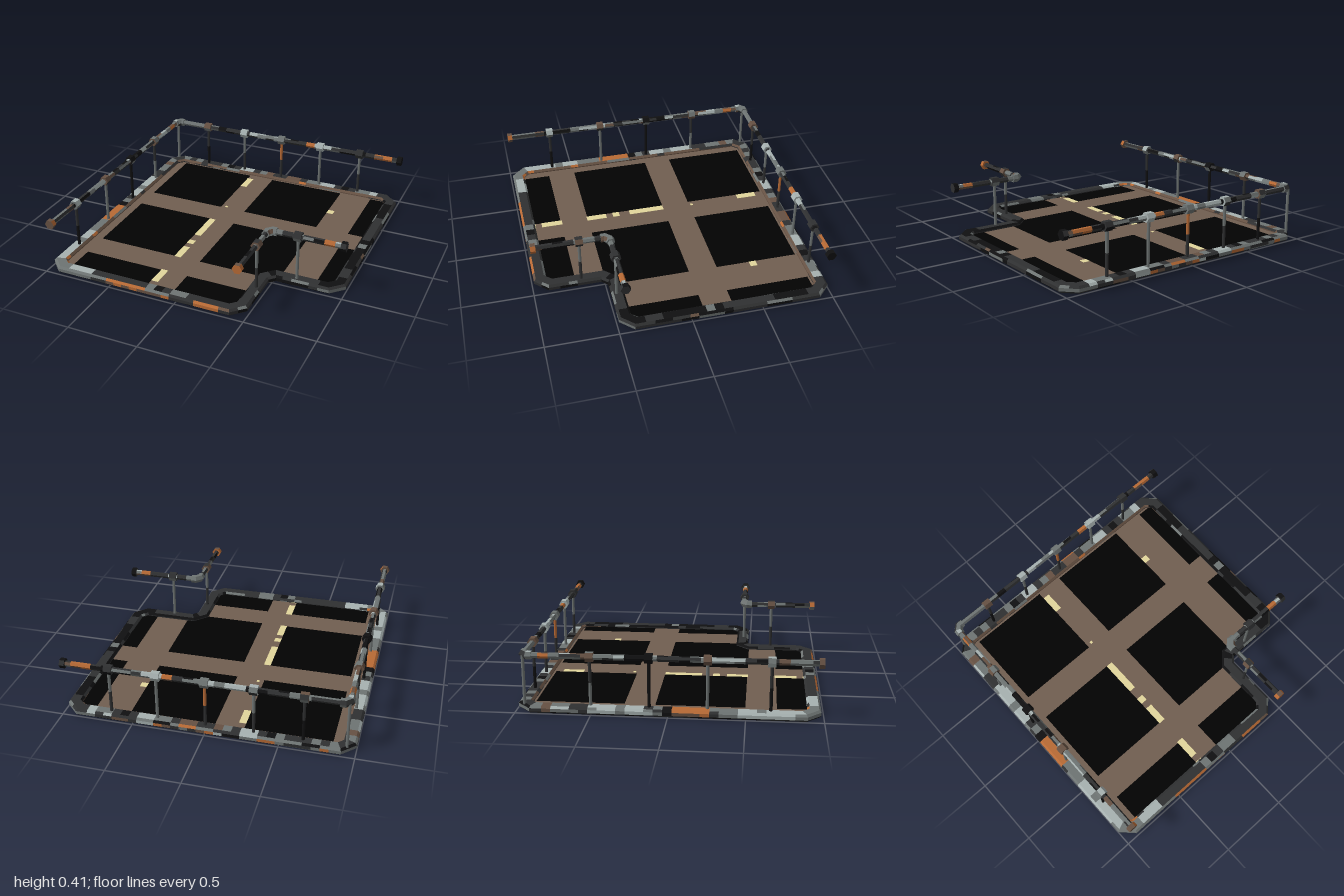
import * as THREE from 'three';

const mat = (name, color) => new THREE.MeshStandardMaterial({ name, color, side: THREE.DoubleSide });

export function createModel() {
  const M = {
    floor: mat('floorBrown', 0x715e50), panel: mat('panelBlack', 0x020202), paint: mat('paleYellow', 0xe2d69c),
  };
  const metals = [
    mat('sootBlack', 0x101011), mat('darkSteel', 0x2f3031), mat('midSteel', 0x6e7473),
    mat('paleSteel', 0xa6b1b0), mat('rustOrange', 0xb86a35), mat('rustBrown', 0x665143),
  ];
  const group = new THREE.Group();
  const V = (x, y, z) => new THREE.Vector3(x, y, z);
  const add = (name, geo, material, x = 0, y = 0, z = 0) => {
    const mesh = new THREE.Mesh(geo, material);
    mesh.name = name;
    mesh.position.set(x, y, z);
    group.add(mesh);
  };

  // Seeded weathering: weights of the metals in palette order, keyed by the main tone
  let seed = 11;
  const rand = () => (seed = (seed * 16807) % 2147483647) / 2147483647;
  const pick = (weights) => {
    let r = rand() * weights.reduce((a, b) => a + b, 0);
    return weights.findIndex((w) => (r -= w) < 0);
  };
  const WEAR = {
    K: [8, 3, 1, 0, 0, 0], D: [2, 8, 2, 0, 0, 0.5], M: [0, 2, 8, 1, 0, 0.5],
    P: [0, 1, 2, 8, 0, 0], O: [0, 0, 1.5, 0, 7, 2], B: [0, 1, 0.5, 0, 0.5, 8], U: [4, 8, 1, 0, 0, 0.3],
  };
  // Reads the main tone from a string of equal bands between a and b
  const bands = (tones, a, b) => (v) =>
    WEAR[tones[THREE.MathUtils.clamp(Math.floor((v - a) / (b - a) * tones.length), 0, tones.length - 1)]];

  // Cuts the corners of a horizontal path
  function chamfer(pts, c, closed) {
    const n = pts.length;
    return pts.flatMap((p, i) => {
      if (!closed && (i === 0 || i === n - 1)) return [p];
      return [pts[(i + n - 1) % n], pts[(i + 1) % n]].map((q) => p.clone().add(q.clone().sub(p).setLength(c)));
    });
  }

  // Splits long spans so that the weathering can change along them
  function divide(pts, step, closed) {
    const out = [];
    const spans = closed ? pts.length : pts.length - 1;
    for (let i = 0; i < spans; i++) {
      const a = pts[i], b = pts[(i + 1) % pts.length];
      const k = Math.max(1, Math.round(a.distanceTo(b) / step));
      for (let j = 0; j < k; j++) out.push(a.clone().lerp(b, j / k));
    }
    if (!closed) out.push(pts.at(-1));
    return out;
  }

  // Sweeps a faceted section along a mitred path, one metal per facet patch
  function sweep(path, section, closed, weightsAt) {
    const n = path.length, s = section.length;
    const rings = path.map((p, i) => {
      const a = closed || i > 0 ? p.clone().sub(path[(i + n - 1) % n]).normalize() : null;
      const b = closed || i < n - 1 ? path[(i + 1) % n].clone().sub(p).normalize() : a;
      const t = (a ?? b).clone().add(b).normalize();
      const scale = 1 / t.dot(b);
      return section.map(([u, v]) => V(p.x - t.z * u * scale, p.y + v, p.z + t.x * u * scale));
    });
    const buckets = metals.map(() => []);
    const last = section.map(() => ({}));
    for (let i = 0; i < (closed ? n : n - 1); i++) {
      const r = rings[i], q = rings[(i + 1) % n];
      for (let k = 0; k < s; k++) {
        const m = (k + 1) % s, A = r[k], B = r[m], C = q[m], D = q[k];
        const mid = A.clone().add(C).multiplyScalar(0.5);
        const normal = D.clone().sub(A).cross(B.clone().sub(A)).normalize();
        const weights = weightsAt(mid, normal);
        if (last[k].weights !== weights || rand() > 0.5) last[k] = { weights, tone: pick(weights) };
        buckets[last[k].tone].push(A, D, C, A, C, B);
      }
    }
    if (!closed) {
      const e = rings[n - 1], f = rings[0];
      for (let k = 1; k < s - 1; k++) buckets[last[0].tone].push(f[0], f[k], f[k + 1], e[0], e[k + 1], e[k]);
    }
    const geo = new THREE.BufferGeometry().setFromPoints(buckets.flat());
    let start = 0;
    buckets.forEach((b, i) => {
      if (b.length) geo.addGroup(start, b.length, i);
      start += b.length;
    });
    geo.computeVertexNormals();
    return geo;
  }
  const hexagon = (r) => Array.from({ length: 6 }, (_, k) => [r * Math.cos(k * Math.PI / 3), r * Math.sin(k * Math.PI / 3)]);

  // Platform edge frame
  const corners = [[-0.955, -0.95], [0.95, -0.95], [0.95, 0.44], [0.44, 0.44], [0.44, 0.94], [-0.955, 0.94]];
  const edge = chamfer(corners.map(([x, z]) => V(x, 0.025, z)), 0.065, true);
  const octagon = [[0.045, -0.011], [0.045, 0.011], [0.03, 0.025], [-0.03, 0.025], [-0.045, 0.011], [-0.045, -0.011], [-0.03, -0.025], [0.03, -0.025]];
  const frontSide = bands('MMMMBOOOOMMOODKKKKM', -0.95, 0.95);
  const frontTop = bands('OPPDDDDDDMDDDD', -0.95, 0.45);
  const leftTop = bands('DBPDPPMPMKOODMPPPPM', -0.95, 0.95);
  const backTop = bands('MDKDMKPDBMOMDMKDMPD', -0.95, 0.95);
  const backSide = bands('MOPDMOMDPOMDOMPDMOD', -0.95, 0.95);
  const frameWear = (p, n) => {
    if (n.y < -0.1) return WEAR.U;
    if (p.z > 0.4 && n.z > 0.3 && (p.z > 0.9 || p.x > 0.45)) return frontSide(p.x);
    if (p.z > 0.89) return frontTop(p.x);
    if (p.x < -0.88) return n.x > 0.3 ? WEAR.B : leftTop(p.z);
    if (p.z < -0.88) return n.z > 0.3 ? WEAR.B : n.z < -0.9 ? backSide(p.x) : backTop(p.x);
    return WEAR.U;
  };
  add('edgeFrame', sweep(divide(edge, 0.06, true), octagon, true, frameWear), metals);

  // Floor sheet
  const outline = new THREE.Shape(edge.map((p) => new THREE.Vector2(p.x, -p.z)));
  const floorGeo = new THREE.ExtrudeGeometry(outline, { depth: 0.006, bevelEnabled: false }).rotateX(-Math.PI / 2);
  add('floor', floorGeo, M.floor, 0, 0.022, 0);

  // Thin plates showing on both faces of the floor
  const plate = (name, material, x0, x1, z0, z1) =>
    add(name, new THREE.BoxGeometry(x1 - x0, 0.0096, z1 - z0), material, (x0 + x1) / 2, 0.025, (z0 + z1) / 2);
  for (const [x0, x1, z0, z1] of [
    [-0.845, -0.25, -0.89, -0.3], [-0.845, -0.25, -0.095, 0.495], [-0.845, -0.25, 0.7, 0.92],
    [-0.05, 0.54, -0.89, -0.3], [-0.05, 0.54, -0.095, 0.44], [-0.05, 0.44, 0.44, 0.495], [-0.05, 0.42, 0.7, 0.92],
    [0.79, 0.925, -0.89, -0.3], [0.79, 0.925, -0.095, 0.43],
  ]) plate('floorPanel', M.panel, x0, x1, z0, z1);

  // Worn painted line
  for (const [z0, z1] of [[-0.84, -0.69], [-0.095, 0.17], [0.25, 0.3], [0.35, 0.5], [0.69, 0.845], [0.89, 0.91]])
    plate('paintedLine', M.paint, -0.25, -0.2, z0, z1);
  plate('paintFleck', M.paint, -0.22, -0.2, -0.33, -0.31);
  plate('paintFleck', M.paint, 0.54, 0.59, -0.59, -0.54);

  // Handrails: pipe runs with corner elbows, end collars and post collars
  const H = 0.38, FOOT = 0.03;
  const X = V(1, 0, 0), Z = V(0, 0, 1);
  const collar = (center, dir, half, tone) => add('railCollar', sweep(
    [center.clone().addScaledVector(dir, -half), center.clone().addScaledVector(dir, half)],
    hexagon(0.035), false, () => WEAR[tone]), metals);

  // A post has an upper and a lower tone
  const TONES = 'KDMPOB';
  function post(x, z, tones) {
    const h = (H - FOOT) / 2;
    [...tones].forEach((t, i) => add('railPost', new THREE.CylinderGeometry(0.011, 0.011, h, 6),
      metals[TONES.indexOf(t)], x, H - h * (i + 0.5), z));
  }

  // Posts are listed as [position, collar tone, post tones]
  function rail(x, z, xTones, zTones, endTone, xPosts, zPosts) {
    const alongX = bands(xTones, x, 0.995), alongZ = bands(zTones, 0.985, z);
    const run = [V(x, H, 0.985), V(x, H, z), V(0.995, H, z)];
    add('handrail', sweep(divide(chamfer(run, 0.03, false), 0.07, false), hexagon(0.02), false,
      (p) => (p.z > z + 0.03 ? alongZ(p.z) : alongX(p.x))), metals);
    const elbow = chamfer([V(x, H, z + 0.06), V(x, H, z), V(x + 0.06, H, z)], 0.03, false);
    add('railElbow', sweep(elbow, hexagon(0.03), false, () => WEAR.M), metals);
    collar(V(x, H, 0.972), Z, 0.017, endTone);
    collar(V(0.982, H, z), X, 0.018, 'K');
    for (const [px, tone, tones] of xPosts) {
      collar(V(px, H, z), X, 0.028, tone);
      post(px, z, tones);
    }
    for (const [pz, tone, tones] of zPosts) {
      collar(V(x, H, pz), Z, 0.026, tone);
      post(x, pz, tones);
    }
  }
  rail(-0.94, -0.945, 'MMMMKKKPMPDDOPMDKDOM', 'MMBDDMPPMDDMKMMBMMOM', 'B',
    [[-0.655, 'M', 'DK'], [-0.325, 'P', 'MD'], [0.003, 'M', 'OD'], [0.335, 'P', 'MM'], [0.662, 'D', 'MD']],
    [[-0.508, 'B', 'DM'], [-0.125, 'K', 'KK'], [0.253, 'B', 'MM'], [0.66, 'P', 'DK']]);
  post(-0.94, -0.945, 'MM');
  rail(0.45, 0.45, 'MDMDOM', 'DDKMD', 'O', [[0.662, 'D', 'MM']], [[0.66, 'B', 'MD']]);

  return group;
}
